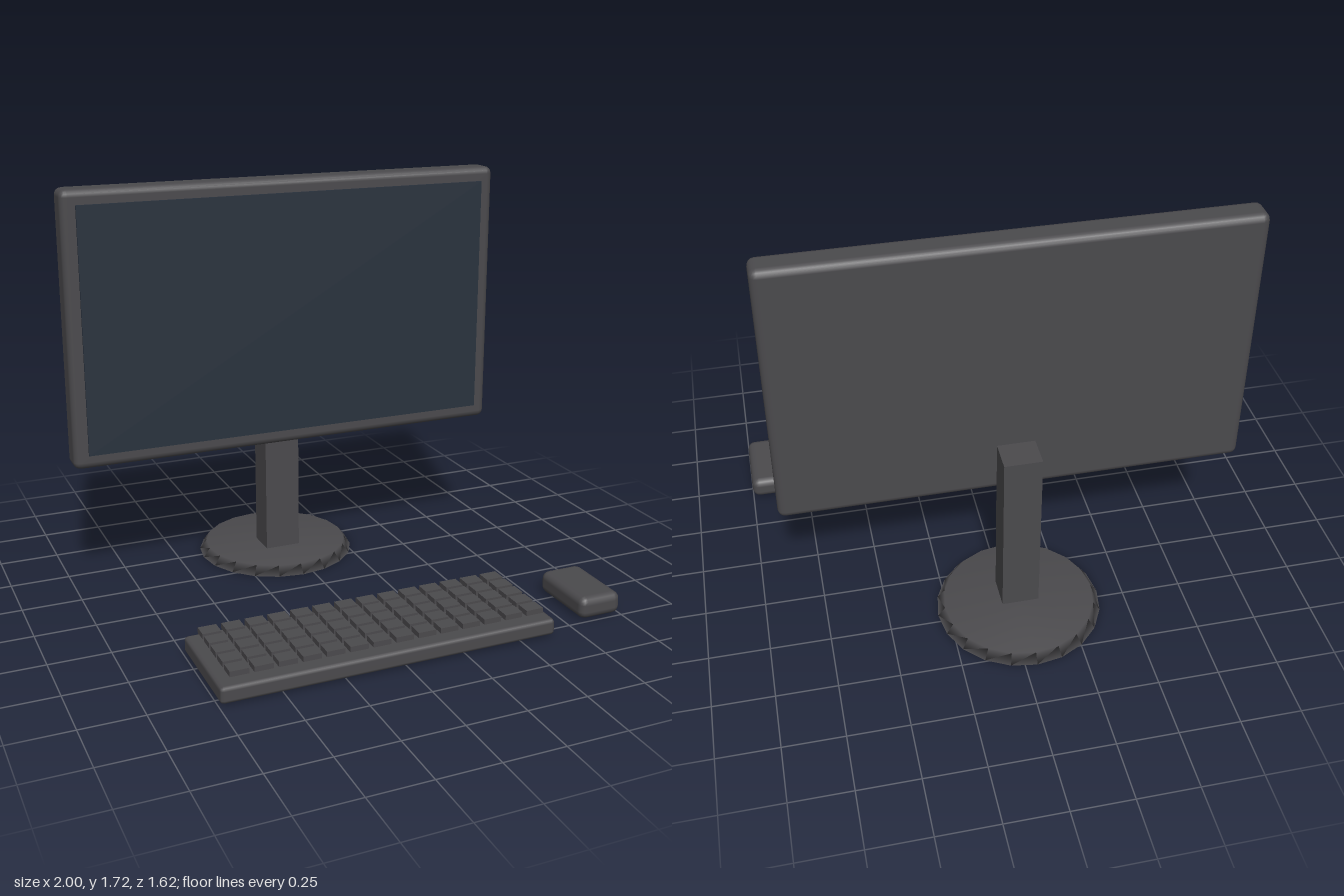
import * as THREE from 'three';
import { RoundedBoxGeometry } from 'three/addons/geometries/RoundedBoxGeometry.js';
import { mergeVertices } from 'three/addons/utils/BufferGeometryUtils.js';

const plastic = new THREE.MeshStandardMaterial({ name: 'dark grey plastic', color: 0x4b4a4d });
const glass = new THREE.MeshStandardMaterial({ name: 'dark blue glass', color: 0x29323e });

// Box spanning two corners, with rounded edges when a radius is given
function box(name, [x0, y0, z0], [x1, y1, z1], material, radius = 0, segments = 2) {
  const size = [x1 - x0, y1 - y0, z1 - z0];
  const geometry = radius
    ? new RoundedBoxGeometry(...size, segments, radius)
    : new THREE.BoxGeometry(...size);
  const mesh = new THREE.Mesh(geometry, material);
  mesh.name = name;
  mesh.position.set((x0 + x1) / 2, (y0 + y1) / 2, (z0 + z1) / 2);
  return mesh;
}

// Sloped round foot, with normals shared across its rims
function createFoot() {
  let geometry = new THREE.CylinderGeometry(0.315, 0.345, 0.04, 20);
  geometry.deleteAttribute('normal');
  geometry.deleteAttribute('uv');
  geometry = mergeVertices(geometry);
  geometry.computeVertexNormals();
  const foot = new THREE.Mesh(geometry, plastic);
  foot.name = 'standFoot';
  foot.position.set(-0.05, 0.02, -0.465);
  return foot;
}

function createMonitor() {
  const monitor = new THREE.Group();
  monitor.name = 'monitor';
  monitor.add(
    box('monitorCase', [-1, 0.575, -0.365], [0.9, 1.715, -0.24], plastic, 0.03),
    box('screen', [-0.94, 0.635, -0.241], [0.84, 1.655, -0.232], glass),
    box('standNeck', [-0.13, 0.03, -0.495], [0.025, 0.8, -0.36], plastic),
    createFoot()
  );
  return monitor;
}

function createKeyboard() {
  const keyboard = new THREE.Group();
  keyboard.name = 'keyboard';
  keyboard.add(box('keyboardCase', [-0.745, 0.008, 0.365], [0.645, 0.075, 0.808], plastic, 0.015, 1));

  // Five rows of fourteen keys
  const keys = new THREE.Group();
  keys.name = 'keys';
  for (let row = 0; row < 5; row++) {
    for (let column = 0; column < 14; column++) {
      const x = -0.687 + column * 0.0954;
      const z = 0.363 + row * 0.0785;
      keys.add(box('key', [x, 0.07, z], [x + 0.075, 0.097, z + 0.062], plastic));
    }
  }
  keyboard.add(keys);
  return keyboard;
}

export function createModel() {
  const model = new THREE.Group();
  model.name = 'desktopSet';
  model.add(
    createMonitor(),
    createKeyboard(),
    box('mouse', [0.81, 0.003, 0.427], [1, 0.097, 0.745], plastic, 0.032)
  );
  return model;
}
